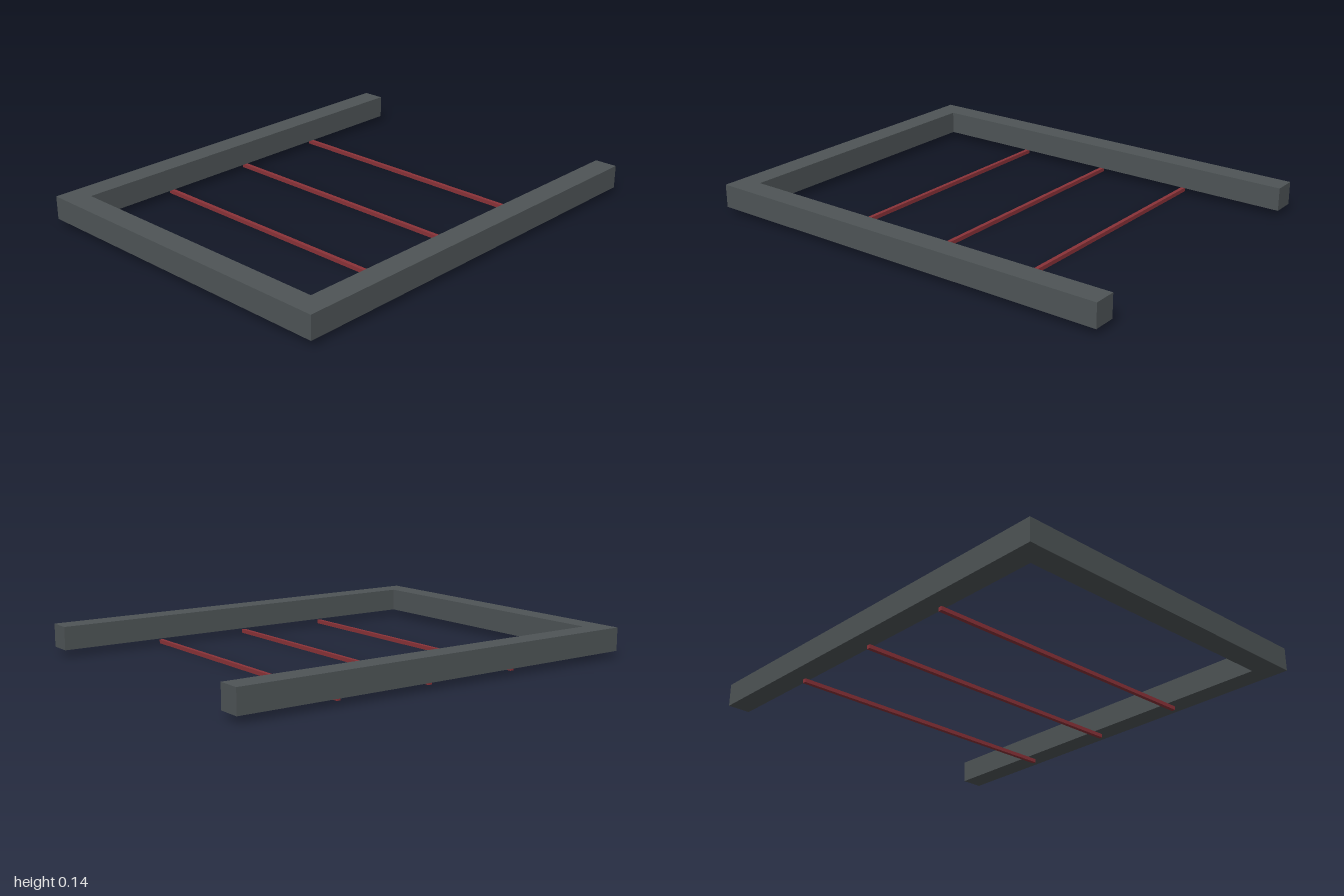
import * as THREE from 'three';

export function createModel() {
  const model = new THREE.Group();
  const frameMaterial = new THREE.MeshStandardMaterial({ color: 0x4e5456 });
  const rodMaterial = new THREE.MeshStandardMaterial({ color: 0x8a3238 });

  // U-shaped frame, open at the back: outline in plan, extruded upwards
  const halfWidth = 0.787, bar = 0.107, inner = halfWidth - bar;
  const outline = new THREE.Shape([
    [-halfWidth, -1], [halfWidth, -1], [halfWidth, 1], [inner, 1],
    [inner, -1 + bar], [-inner, -1 + bar], [-inner, 1], [-halfWidth, 1],
  ].map(([x, y]) => new THREE.Vector2(x, y)));
  const frameGeometry = new THREE.ExtrudeGeometry(outline, { depth: bar, bevelEnabled: false });
  frameGeometry.rotateX(-Math.PI / 2);
  const frame = new THREE.Mesh(frameGeometry, frameMaterial);
  frame.name = 'frame';
  frame.position.y = 0.029;
  model.add(frame);

  // Three thin square rods running across just below the frame
  const rodSize = 0.018;
  const rodGeometry = new THREE.BoxGeometry(1.428, rodSize, rodSize);
  for (const [i, z] of [-0.496, -0.036, 0.422].entries()) {
    const rod = new THREE.Mesh(rodGeometry, rodMaterial);
    rod.name = `crossRod${i + 1}`;
    rod.position.set(-0.002, rodSize / 2, z);
    model.add(rod);
  }

  return model;
}
